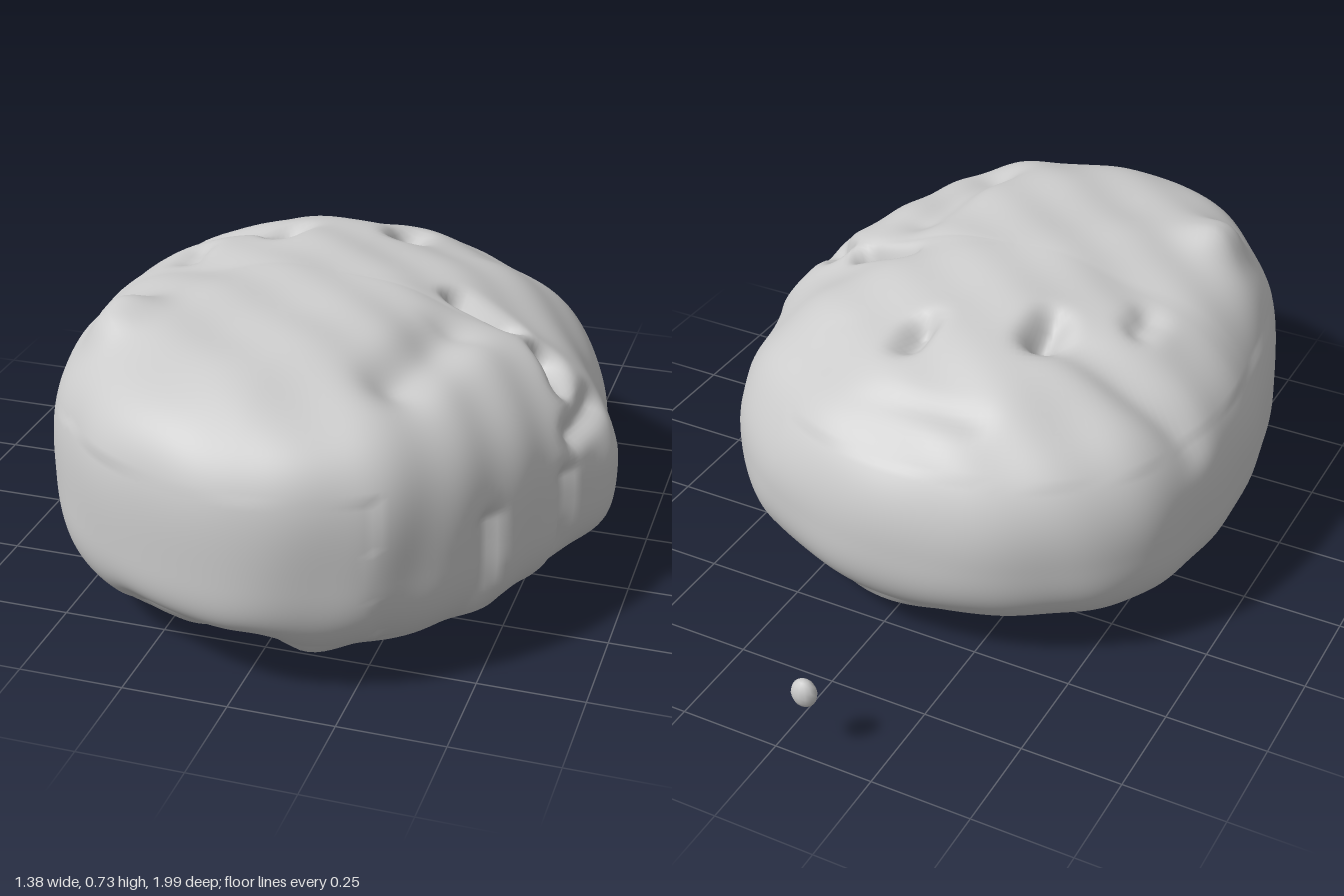
import * as THREE from 'three';

const V = (x, y, z) => new THREE.Vector3(x, y, z);

// Plan outline [x, z], from the front tip round by the left (+x) side
const OUTLINE = [
  [0.01, 0.985], [0.28, 0.905], [0.47, 0.71], [0.6, 0.46], [0.68, 0.2], [0.635, 0.03],
  [0.57, -0.22], [0.38, -0.45], [0.1, -0.58], [-0.27, -0.565], [-0.58, -0.36],
  [-0.68, -0.05], [-0.64, 0.42], [-0.5, 0.73], [-0.25, 0.93],
];

// Relief strokes: grooves have positive depth, swellings negative
const strokes = [];
const stroke = (a, b, radius, depth) => strokes.push({ line: new THREE.Line3(a, b), radius, depth });

// Valley across the right of the top
stroke(V(-0.66, 0.52, -0.12), V(-0.25, 0.7, -0.12), 0.06, 0.035);
// Long pits in the left shoulder
stroke(V(0.28, 0.64, 0.13), V(0.4, 0.6, 0.15), 0.03, 0.13);
stroke(V(0.5, 0.54, 0.2), V(0.54, 0.5, 0.26), 0.035, 0.13);
// Hollow where the top falls to the left side
stroke(V(0.32, 0.65, 0.32), V(0.27, 0.65, 0.62), 0.07, 0.04);
// Groove above the side lobe, and the lobe itself
stroke(V(0.62, 0.45, 0.34), V(0.62, 0.45, 0.18), 0.035, 0.035);
stroke(V(0.66, 0.32, 0.22), V(0.66, 0.2, 0.22), 0.08, -0.015);
// Knob on the front shoulder
stroke(V(-0.43, 0.68, 0.55), V(-0.42, 0.68, 0.5), 0.07, -0.045);
// Undercut below the front
stroke(V(-0.25, 0.08, 0.92), V(0.02, 0.08, 0.93), 0.08, 0.05);
// Crease on the back shoulder
stroke(V(-0.2, 0.62, -0.42), V(0.1, 0.63, -0.44), 0.035, 0.018);

// Small pits on top: x, z, depth
for (const [x, z, depth] of [[-0.23, -0.09, 0.06], [0.06, -0.22, 0.06], [0.3, -0.26, 0.06], [-0.42, 0.07, 0.03]])
  stroke(V(x, 0.68, z - 0.03), V(x, 0.68, z + 0.03), 0.04, depth);

// Upright clefts between the lobes of the left side: x, z, depth
for (const [x, z, depth] of [[0.64, 0.07, 0.05], [0.62, 0.4, 0.035], [0.5, 0.66, 0.03], [0.58, -0.24, 0.03]])
  stroke(V(x, 0.1, z), V(x, 0.36, z), 0.032, depth);

// Pits scattered over the underside
let seed = 7;
const rand = () => (seed = (seed * 16807) % 2147483647) / 2147483647;
for (let i = 0; i < 22; i++) {
  const a = i * 2.4, d = 0.12 + 0.42 * Math.sqrt(rand());
  const p = V(Math.cos(a) * d, 0.02, 0.2 + Math.sin(a) * d * 1.2);
  const q = p.clone().add(V(rand() * 0.16 - 0.08, 0, rand() * 0.16 - 0.08));
  stroke(p, q, 0.035 + rand() * 0.03, 0.04 + rand() * 0.06);
}

// Depth to press a surface point inwards
const near = V(0, 0, 0);
function relief(p) {
  let d = 0;
  for (const { line, radius, depth } of strokes) {
    const dist = line.closestPointToPoint(p, true, near).distanceTo(p);
    d += depth * Math.exp(-((dist / radius) ** 2));
  }
  const { x, y, z } = p;
  const rough = y < 0.12 ? 0.012 : y > 0.5 || x > 0.3 ? 0.008 : 0.004;
  return d + rough * (Math.sin(11 * x + 4 * z + 1) * Math.sin(9 * z - 5 * y)
    + 0.7 * Math.sin(19 * x - 9 * z) * Math.sin(17 * z + 8 * y + 2));
}

function boulderGeometry(cols = 220, rows = 120) {
  const outline = new THREE.CatmullRomCurve3(OUTLINE.map(([x, z]) => V(x, 0, z)), true);
  const pos = [], index = [];
  for (let j = 0; j <= rows; j++) {
    const phi = (j / rows - 0.5) * Math.PI;
    for (let i = 0; i < cols; i++) {
      const edge = outline.getPoint(i / cols);
      const dir = V(edge.x, 0, edge.z - 0.2).normalize();
      // rounder on the left side, blunter at the front
      const n = phi < 0 ? 3 : 2.4 + 1.3 * Math.max(0, dir.z) - 0.4 * Math.max(0, dir.x);
      const c = Math.abs(Math.cos(phi)), s = Math.abs(Math.sin(phi));
      const k = (c ** n + s ** n) ** (-1 / n);
      const x = edge.x * c * k, z = 0.2 + (edge.z - 0.2) * c * k;
      let y = 0.3 + Math.sign(phi) * s * k * (phi < 0 ? 0.3 : 0.415 - 0.03 * x);
      // raised ledge under the left side
      y = Math.max(y, 0.09 * THREE.MathUtils.smoothstep(x, 0.3, 0.42));
      pos.push(x, y, z);
      if (j < rows) {
        const a = j * cols + i, b = j * cols + (i + 1) % cols;
        index.push(a, b, b + cols, a, b + cols, a + cols);
      }
    }
  }
  const geo = new THREE.BufferGeometry();
  geo.setAttribute('position', new THREE.Float32BufferAttribute(pos, 3));
  geo.setIndex(index);
  geo.computeVertexNormals();

  // press the relief in along the normals
  const P = geo.attributes.position, N = geo.attributes.normal;
  const p = V(0, 0, 0), normal = V(0, 0, 0);
  for (let i = 0; i < P.count; i++) {
    p.fromBufferAttribute(P, i);
    normal.fromBufferAttribute(N, i);
    if (i < cols) normal.set(0, -1, 0);
    if (i >= rows * cols) normal.set(0, 1, 0);
    p.addScaledVector(normal, -relief(p));
    P.setXYZ(i, p.x, Math.max(0, p.y), p.z);
  }
  geo.computeVertexNormals();
  return geo;
}

export function createModel() {
  const group = new THREE.Group();
  group.name = 'boulder';
  const stone = new THREE.MeshStandardMaterial({ color: 0xcccccc });

  const body = new THREE.Mesh(boulderGeometry(), stone);
  body.name = 'boulderBody';

  // small loose pebble behind the boulder
  const pebble = new THREE.Mesh(new THREE.SphereGeometry(1, 12, 8), stone);
  pebble.name = 'pebble';
  pebble.scale.set(0.032, 0.037, 0.024);
  pebble.position.set(-0.07, 0.17, -0.976);

  group.add(body, pebble);
  return group;
}
